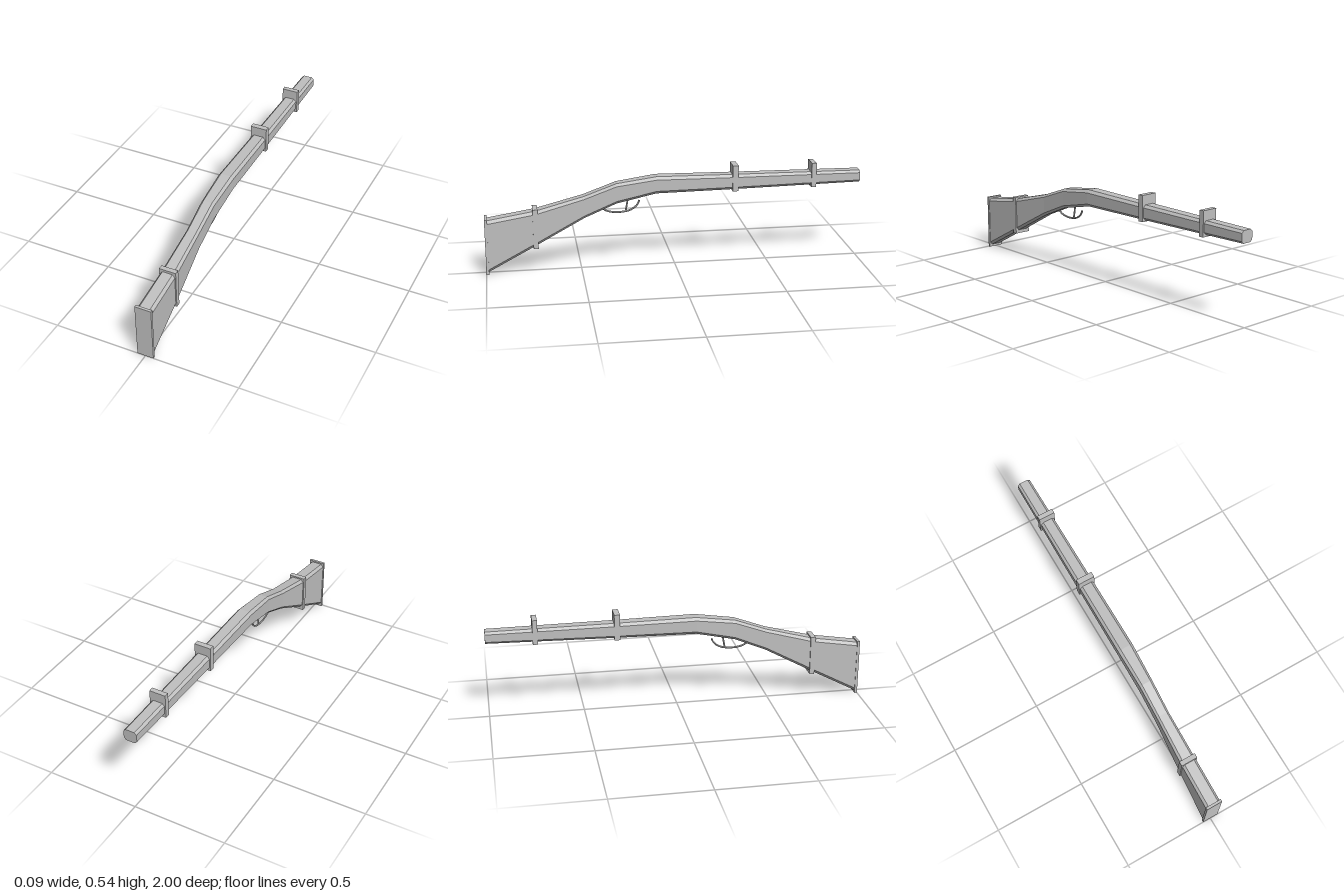
import * as THREE from 'three';

// Loft of chamfered rectangular sections: [z, top, bottom, halfWidth, chamferX, chamferY]
function loft(stations) {
  const rings = stations.map(([z, t, b, w, cx, cy]) => [
    [w, b + cy, z], [w, t - cy, z], [w - cx, t, z], [-w + cx, t, z],
    [-w, t - cy, z], [-w, b + cy, z], [-w + cx, b, z], [w - cx, b, z],
  ]);
  const pos = [];
  const tri = (a, b, c) => pos.push(...a, ...b, ...c);
  for (let i = 0; i < rings.length - 1; i++) {
    const A = rings[i], B = rings[i + 1]; // A is nearer the front (+z)
    for (let k = 0; k < 8; k++) {
      const n = (k + 1) % 8;
      tri(A[k], B[k], B[n]);
      tri(A[k], B[n], A[n]);
    }
  }
  const F = rings[0], E = rings[rings.length - 1];
  for (let k = 1; k < 7; k++) {
    tri(F[0], F[k], F[k + 1]);
    tri(E[0], E[k + 1], E[k]);
  }
  const g = new THREE.BufferGeometry();
  g.setAttribute('position', new THREE.Float32BufferAttribute(pos, 3));
  g.computeVertexNormals();
  return g;
}

export function createModel() {
  const group = new THREE.Group();
  const grey = new THREE.MeshStandardMaterial({ color: 0xc0c0c0, flatShading: true });
  grey.name = 'plain grey';

  const add = (name, geometry) => {
    const mesh = new THREE.Mesh(geometry, grey);
    mesh.name = name;
    group.add(mesh);
    return mesh;
  };

  // One continuous body: butt, wrist, fore-end and barrel
  add('stockAndBarrel', loft([
    [0.99, 0.293, 0.01, 0.041, 0.013, 0.016],
    [0.735, 0.334, 0.145, 0.04, 0.013, 0.016],
    [0.48, 0.401, 0.283, 0.034, 0.011, 0.014],
    [0.31, 0.463, 0.355, 0.036, 0.012, 0.014],
    [0.1, 0.493, 0.402, 0.042, 0.014, 0.015],
    [-0.32, 0.488, 0.407, 0.04, 0.014, 0.014],
    [-1, 0.483, 0.419, 0.036, 0.012, 0.012],
  ]));

  // Flat collars and butt plate: [name, z, thickness, bottom, top, width]
  for (const [name, z, depth, bottom, top, width] of [
    ['buttPlate', 0.993, 0.014, 0, 0.302, 0.088],
    ['stockBand', 0.737, 0.026, 0.132, 0.345, 0.091],
    ['middleBand', -0.32, 0.03, 0.4, 0.539, 0.091],
    ['frontBand', -0.745, 0.026, 0.404, 0.536, 0.088],
  ]) {
    add(name, new THREE.BoxGeometry(width, top - bottom, depth)).position.set(0, (top + bottom) / 2, z);
  }

  // Slim curved rods under the wrist, given as [z, y]
  const rod = (name, points, radius, segments) => {
    const curve = new THREE.CatmullRomCurve3(points.map(([z, y]) => new THREE.Vector3(0, y, z)));
    add(name, new THREE.TubeGeometry(curve, segments, radius, 6));
  };
  rod('triggerGuard', [[0.39, 0.335], [0.375, 0.318], [0.34, 0.304], [0.29, 0.3],
    [0.235, 0.31], [0.2, 0.335], [0.187, 0.362]], 0.005, 14);
  rod('trigger', [[0.247, 0.38], [0.252, 0.35], [0.26, 0.306]], 0.005, 5);

  return group;
}
